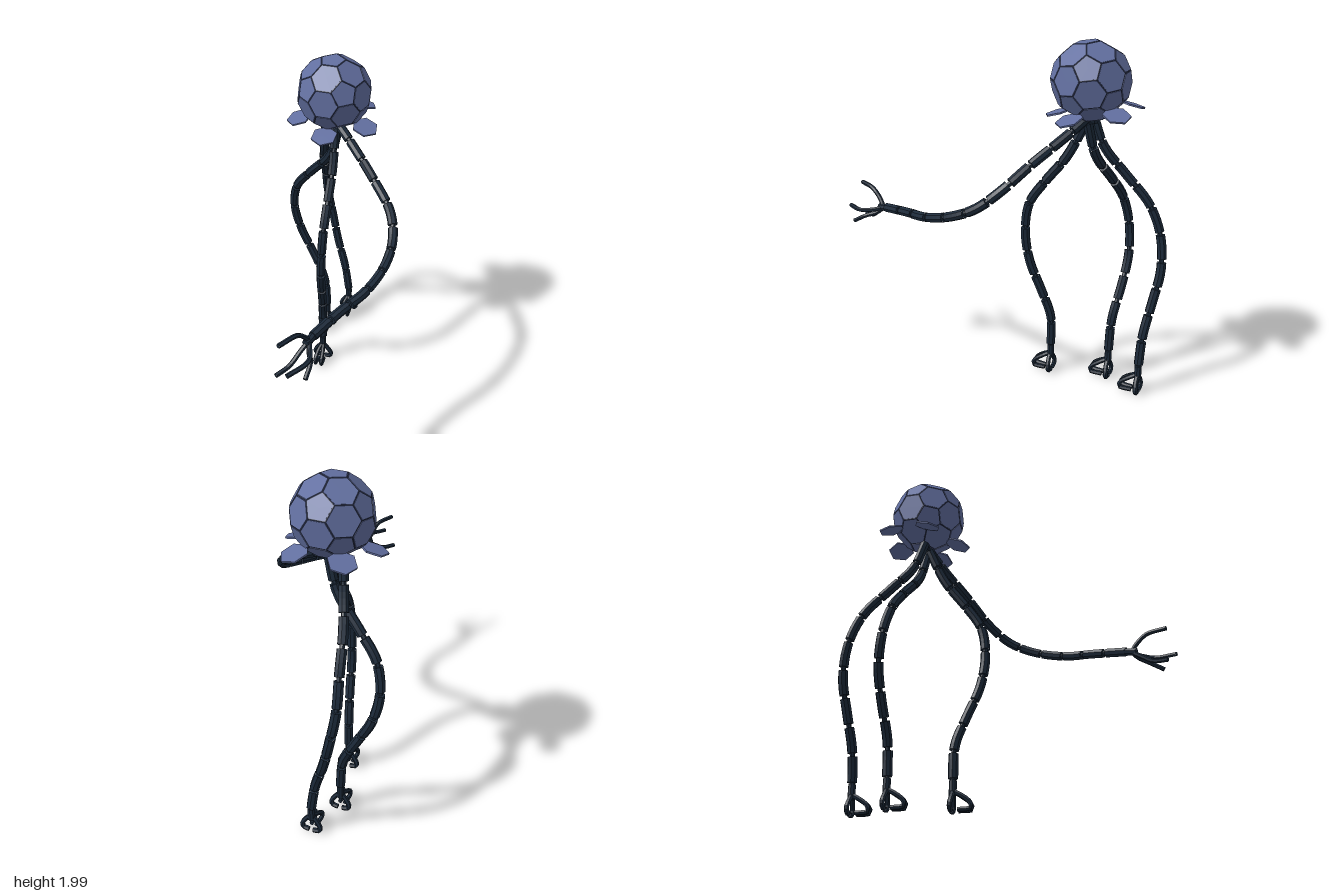
import * as THREE from 'three';

const V = (p) => new THREE.Vector3(...p);
const shell = new THREE.MeshStandardMaterial({ color: 0x626fa0 });
shell.name = 'slate blue shell';
shell.flatShading = true;
const seam = new THREE.MeshStandardMaterial({ color: 0x323a58 });
seam.name = 'dark blue seam';
seam.flatShading = true;
const limb = new THREE.MeshStandardMaterial({ color: 0x1c2a3a });
limb.name = 'blue black limb';
limb.flatShading = true;

function add(parent, name, geometry, material) {
  const mesh = new THREE.Mesh(geometry, material);
  mesh.name = name;
  parent.add(mesh);
  return mesh;
}

// Capped tube through a list of points
function rod(parent, name, points, radius, sides, steps) {
  const curve = new THREE.CatmullRomCurve3(points);
  add(parent, name, new THREE.TubeGeometry(curve, steps, radius, sides), limb);
  for (const t of [0, 1]) {
    const cap = add(parent, name + 'Cap', new THREE.CircleGeometry(radius, sides), limb);
    const dir = curve.getTangent(t).multiplyScalar(t ? 1 : -1);
    cap.position.copy(points[t ? points.length - 1 : 0]);
    cap.quaternion.setFromUnitVectors(new THREE.Vector3(0, 0, 1), dir);
  }
}

// Chain of thick sleeves on a thin core
function tentacle(parent, name, path, count) {
  const group = new THREE.Group();
  group.name = name;
  const curve = new THREE.CatmullRomCurve3(path.map(V));
  add(group, 'core', new THREE.TubeGeometry(curve, 48, 0.014, 6), limb);
  for (let i = 0; i < count; i++) {
    const pts = [0.065, 0.35, 0.65, 0.935].map((f) => curve.getPointAt((i + f) / count));
    rod(group, 'sleeve', pts, 0.027, 8, 4);
  }
  parent.add(group);
  return group;
}

// Flat panel on a polygon, shrunk by inset, with walls sinking to depth
function panelGeometry(pts, inset, depth) {
  const c = pts.reduce((s, p) => s.add(p), new THREE.Vector3()).divideScalar(pts.length);
  const top = pts.map((p) => c.clone().lerp(p, inset));
  const low = top.map((p) => p.clone().multiplyScalar(depth));
  const out = [];
  top.forEach((p, i) => {
    const j = (i + 1) % top.length;
    for (const v of [c, p, top[j], p, low[i], low[j], p, low[j], top[j]]) out.push(v.x, v.y, v.z);
  });
  const g = new THREE.BufferGeometry();
  g.setAttribute('position', new THREE.Float32BufferAttribute(out, 3));
  g.computeVertexNormals();
  return g;
}

function makeHead() {
  const head = new THREE.Group();
  head.name = 'head';
  const R = 0.215;

  // Icosahedron corners, with one corner up and a face towards the front
  const corners = [new THREE.Vector3(0, 1, 0), new THREE.Vector3(0, -1, 0)];
  for (let i = 0; i < 10; i++) {
    const a = (i * Math.PI) / 5;
    const y = (i % 2 ? 1 : -1) / Math.sqrt(5);
    corners.push(new THREE.Vector3(Math.sin(a) * 2 / Math.sqrt(5), y, Math.cos(a) * 2 / Math.sqrt(5)));
  }
  // Cut every corner: points a third of the way along each edge
  const near = (a, b) => a !== b && a.dot(b) > 0.4;
  const points = [];
  for (const a of corners) for (const b of corners) {
    if (near(a, b)) points.push(a.clone().lerp(b, 1 / 3).normalize().multiplyScalar(R));
  }
  // Panel directions: 12 pentagons and 20 hexagons
  const dirs = corners.map((c) => c.clone());
  for (let i = 0; i < 12; i++) for (let j = i + 1; j < 12; j++) for (let k = j + 1; k < 12; k++) {
    const [a, b, c] = [corners[i], corners[j], corners[k]];
    if (near(a, b) && near(b, c) && near(a, c)) dirs.push(a.clone().add(b).add(c).normalize());
  }
  for (const d of dirs) {
    const max = Math.max(...points.map((p) => p.dot(d)));
    const ring = points.filter((p) => p.dot(d) > max - 0.001);
    const u = ring[0].clone().addScaledVector(d, -max).normalize();
    const w = d.clone().cross(u);
    ring.sort((p, q) => Math.atan2(p.dot(w), p.dot(u)) - Math.atan2(q.dot(w), q.dot(u)));
    const name = ring.length === 5 ? 'pentagonPanel' : 'hexagonPanel';
    add(head, name, panelGeometry(ring, 0.93, 0.97), shell);
    const floor = ring.map((p) => p.clone().multiplyScalar(0.982));
    add(head, 'seamFloor', panelGeometry(floor, 1, 0.97), seam);
  }

  // Five drooping hexagonal plates round the underside
  for (let i = 0; i < 5; i++) {
    const arm = new THREE.Group();
    arm.name = 'skirtPlate';
    arm.rotation.y = (i * Math.PI * 2) / 5;
    const plate = add(arm, 'plate', new THREE.CylinderGeometry(0.075, 0.075, 0.009, 6), shell);
    plate.position.set(0, -0.162, 0.205);
    plate.rotation.x = 0.3 - 0.15 * Math.cos(arm.rotation.y);
    head.add(arm);
  }
  head.position.set(-0.09, 1.79, -0.49);
  head.rotation.x = 0.15;
  return head;
}

// Foot: four fingers curled under, a close pair in front and a splayed pair behind
function makeFoot(parent, x, z) {
  const foot = new THREE.Group();
  foot.name = 'foot';
  rod(foot, 'wrist', [[0, 0.18, 0], [0, 0.14, 0], [0, 0.1, 0]].map(V), 0.021, 8, 2);
  for (const s of [-1, 1]) {
    rod(foot, 'frontFinger', [[0, 0.125, 0], [s * 0.014, 0.1, 0.045], [s * 0.02, 0.06, 0.095],
      [s * 0.02, 0.03, 0.1], [s * 0.014, 0.024, 0.03]].map(V), 0.013, 6, 10);
    rod(foot, 'backFinger', [[0, 0.125, 0], [s * 0.027, 0.095, 0], [s * 0.052, 0.05, -0.005],
      [s * 0.045, 0.027, -0.005], [s * 0.012, 0.023, -0.008]].map(V), 0.014, 6, 10);
  }
  foot.position.set(x, 0, z);
  parent.add(foot);
}

export function createModel() {
  const model = new THREE.Group();
  model.name = 'tentacledWalker';
  model.add(makeHead());

  // Joint where the limbs meet
  const hub = add(model, 'hub', new THREE.CylinderGeometry(0.05, 0.035, 0.06, 8), limb);
  hub.position.set(-0.09, 1.595, -0.5);

  // Legs
  const legs = [
    ['frontLeg', [[-0.08, 1.6, -0.49], [-0.06, 1.37, -0.38], [-0.05, 1.21, -0.26], [-0.045, 1.07, -0.17],
      [-0.05, 0.89, -0.145], [-0.06, 0.71, -0.17], [-0.075, 0.53, -0.24], [-0.09, 0.37, -0.295], [-0.09, 0.18, -0.3]]],
    ['rightLeg', [[-0.06, 1.58, -0.49], [-0.12, 1.38, -0.52], [-0.26, 1.21, -0.57], [-0.36, 1.08, -0.605],
      [-0.395, 0.91, -0.64], [-0.36, 0.73, -0.66], [-0.28, 0.57, -0.655], [-0.19, 0.38, -0.635], [-0.17, 0.18, -0.63]]],
    ['backLeg', [[-0.14, 1.6, -0.49], [-0.165, 1.42, -0.55], [-0.21, 1.26, -0.67], [-0.24, 1.1, -0.8],
      [-0.25, 0.92, -0.87], [-0.22, 0.73, -0.893], [-0.175, 0.55, -0.87], [-0.115, 0.36, -0.845], [-0.085, 0.18, -0.84]]],
  ];
  for (const [name, path] of legs) {
    const leg = tentacle(model, name, path, 10);
    const end = path[path.length - 1];
    makeFoot(leg, end[0], end[2]);
  }

  // Reaching arm
  const arm = tentacle(model, 'reachingArm', [[-0.08, 1.61, -0.5], [0.04, 1.52, -0.42], [0.21, 1.39, -0.29],
    [0.34, 1.27, -0.18], [0.39, 1.17, -0.06], [0.39, 1.1, 0.09], [0.34, 1.045, 0.27],
    [0.25, 1.01, 0.44], [0.165, 0.975, 0.64]], 11);

  // Open hand
  const wrist = [0.16, 0.97, 0.66];
  rod(arm, 'wrist', [[0.17, 0.975, 0.62], [0.16, 0.97, 0.66], [0.15, 0.966, 0.69]].map(V), 0.022, 8, 2);
  const fingers = [
    [[0.14, 1.02, 0.7], [0.125, 1.06, 0.75], [0.07, 1.065, 0.86]],
    [[0.18, 0.955, 0.71], [0.2, 0.945, 0.79], [0.13, 0.93, 0.91]],
    [[0.13, 0.93, 0.71], [0.095, 0.88, 0.78], [0.05, 0.865, 0.855]],
    [[0.17, 0.935, 0.7], [0.2, 0.915, 0.76], [0.2, 0.87, 0.84]],
  ];
  for (const f of fingers) rod(arm, 'handFinger', [wrist, ...f].map(V), 0.013, 6, 10);
  return model;
}
